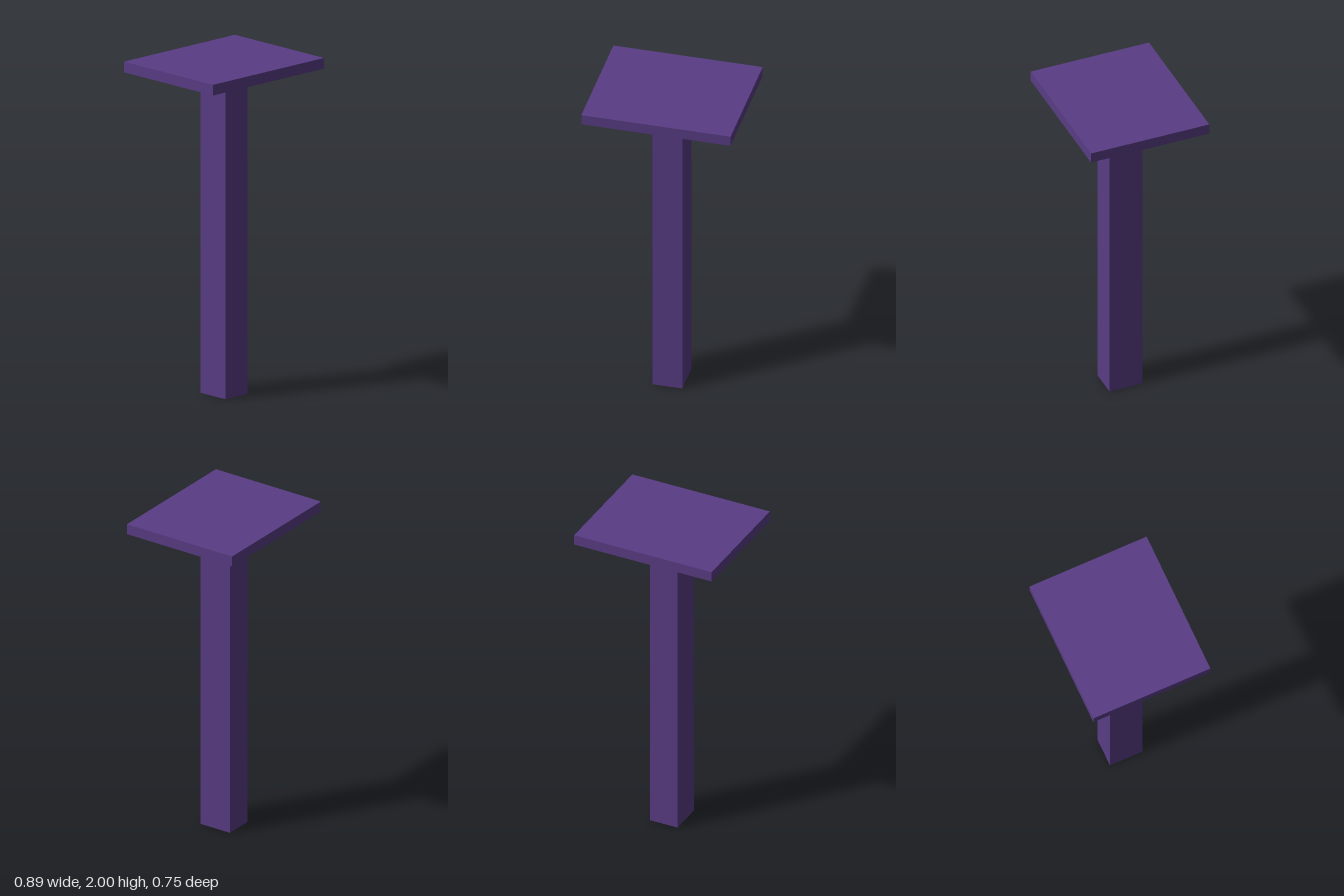
import * as THREE from 'three';

export function createModel() {
  const model = new THREE.Group();
  model.name = 'pedestalTable';

  const purple = new THREE.MeshStandardMaterial({ color: 0x593c84 });
  purple.name = 'purple';

  const height = 2;
  const topThickness = 0.064;
  const postHeight = height - topThickness;

  const addBox = (name, width, tall, depth, baseY) => {
    const mesh = new THREE.Mesh(new THREE.BoxGeometry(width, tall, depth), purple);
    mesh.name = name;
    mesh.position.y = baseY + tall / 2;
    model.add(mesh);
  };

  // Rectangular post standing on the ground
  addBox('post', 0.178, postHeight, 0.209, 0);

  // Thin slab resting on the post
  addBox('top', 0.895, topThickness, 0.746, postHeight);

  return model;
}
